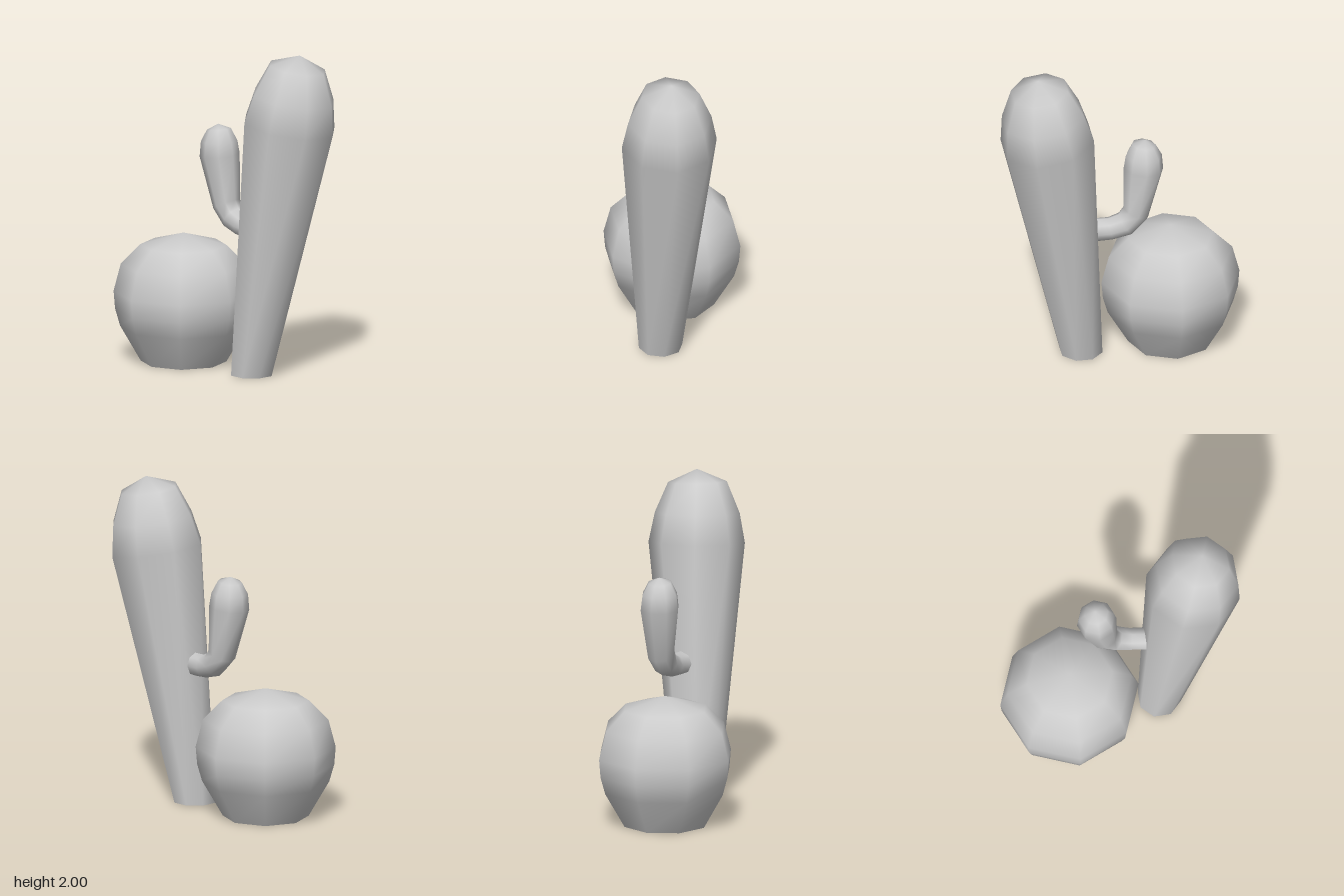
import * as THREE from 'three';

const SIDES = 8;

// Smooth eight-sided loft through rings [x, y, z, radius]; the last ring is the tip point.
function loft(name, rings, phase, flatBase, material) {
  const centres = rings.map(([x, y, z]) => new THREE.Vector3(x, y, z));
  const dir = (i) => centres[i + 1].clone().sub(centres[i]).normalize();
  const last = rings.length - 1;
  const pos = [];
  const index = [];

  // Each ring is square to the bisector of its neighbouring segments
  for (let i = 0; i < last; i++) {
    const n = i === 0
      ? (flatBase ? new THREE.Vector3(0, 1, 0) : dir(0))
      : dir(i - 1).add(dir(i)).normalize();
    const w = new THREE.Vector3(0, 0, 1).addScaledVector(n, -n.z).normalize();
    const u = w.clone().cross(n);
    for (let j = 0; j < SIDES; j++) {
      const a = phase + (j / SIDES) * Math.PI * 2;
      const p = centres[i].clone()
        .addScaledVector(u, rings[i][3] * Math.cos(a))
        .addScaledVector(w, rings[i][3] * Math.sin(a));
      pos.push(p.x, p.y, p.z);
    }
  }
  const tip = last * SIDES;
  pos.push(...centres[last].toArray());

  // Side walls and pointed top
  for (let i = 0; i < last; i++) {
    for (let j = 0; j < SIDES; j++) {
      const a = i * SIDES + j;
      const b = i * SIDES + ((j + 1) % SIDES);
      if (i === last - 1) index.push(a, b, tip);
      else index.push(a, b, b + SIDES, a, b + SIDES, a + SIDES);
    }
  }

  // Flat base with its own vertices, so its rim stays sharp
  const base = tip + 1;
  pos.push(...pos.slice(0, SIDES * 3));
  for (let j = 1; j < SIDES - 1; j++) index.push(base, base + j + 1, base + j);

  const geometry = new THREE.BufferGeometry();
  geometry.setAttribute('position', new THREE.Float32BufferAttribute(pos, 3));
  geometry.setIndex(index);
  geometry.computeVertexNormals();
  const mesh = new THREE.Mesh(geometry, material);
  mesh.name = name;
  return mesh;
}

export function createModel() {
  const group = new THREE.Group();
  group.name = 'cactusGroup';
  const material = new THREE.MeshStandardMaterial({ color: 0xcccccc });

  // Squat round cactus: height and radius pairs
  const barrel = [
    [0, 0.26], [0.215, 0.385], [0.32, 0.415], [0.43, 0.424],
    [0.6, 0.38], [0.72, 0.262], [0.795, 0],
  ].map(([y, r]) => [-0.317, y, 0, r]);
  group.add(loft('barrelCactus', barrel, 0, true, material));

  // Tall leaning column, widening upwards to a domed top
  group.add(loft('columnCactus', [
    [0.242, 0, -0.053, 0.133],
    [0.467, 1.56, -0.157, 0.292],
    [0.495, 1.738, -0.166, 0.257],
    [0.518, 1.924, -0.176, 0.178],
    [0.53, 2, -0.185, 0],
  ], Math.PI / 8, true, material));

  // Side arm, bending upwards from the column
  group.add(loft('sideArm', [
    [0.18, 0.878, -0.12, 0.072],
    [0.075, 0.885, -0.13, 0.071],
    [-0.015, 0.915, -0.138, 0.078],
    [-0.08, 0.99, -0.138, 0.085],
    [-0.129, 1.288, -0.125, 0.122],
    [-0.131, 1.375, -0.123, 0.111],
    [-0.133, 1.449, -0.122, 0.073],
    [-0.14, 1.48, -0.122, 0],
  ], 0, false, material));

  return group;
}
